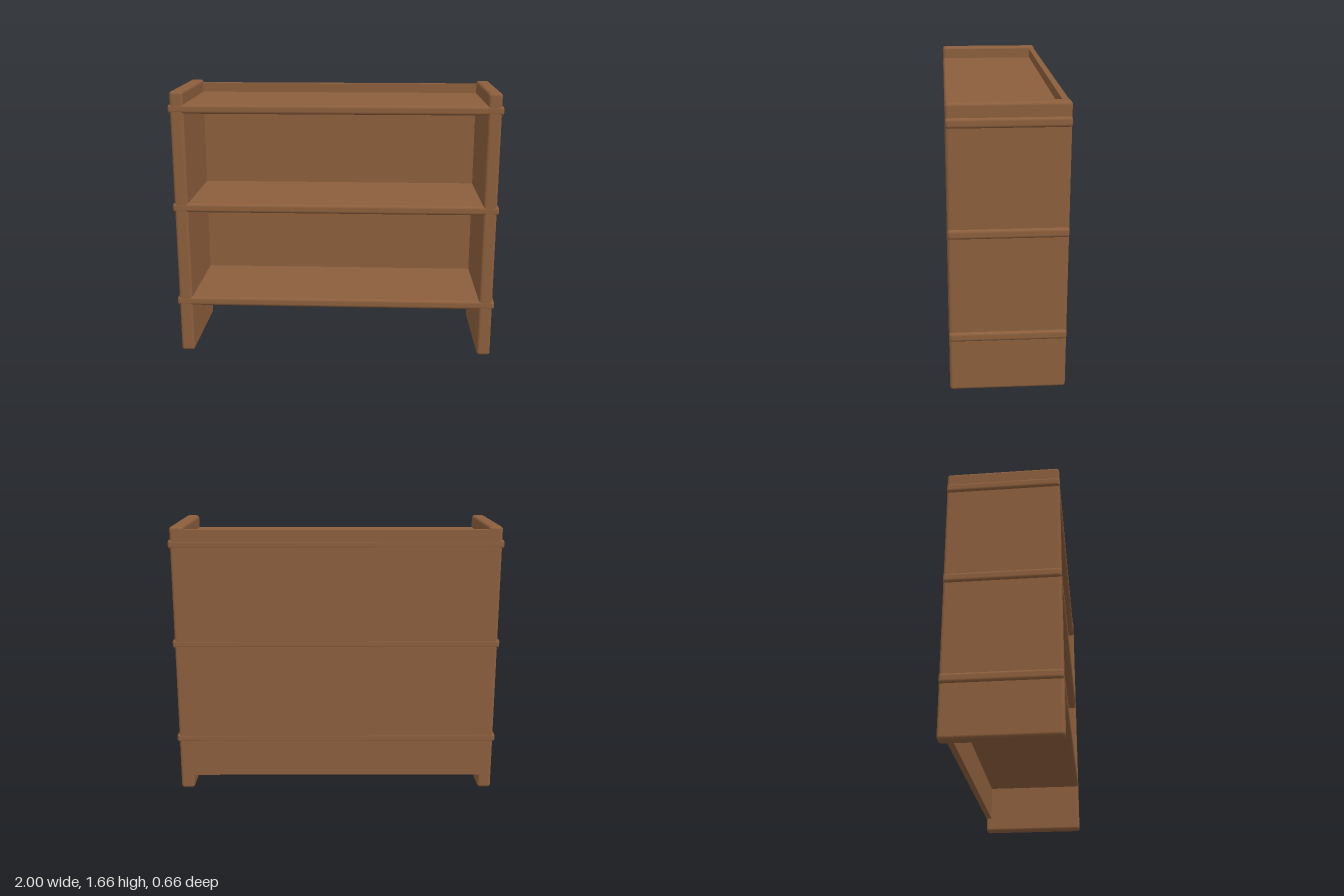
import * as THREE from 'three';
import { RoundedBoxGeometry } from 'three/addons/geometries/RoundedBoxGeometry.js';

export function createModel() {
  const group = new THREE.Group();
  group.name = 'bookcase';
  const wood = new THREE.MeshStandardMaterial({ color: 0x8b5e3c });

  function add(name, geometry, x, y, z) {
    const mesh = new THREE.Mesh(geometry, wood);
    mesh.name = name;
    mesh.position.set(x, y, z);
    group.add(mesh);
  }

  // upright side panels with softened edges
  const sideGeometry = new RoundedBoxGeometry(0.083, 1.664, 0.66, 3, 0.018);
  add('leftSide', sideGeometry, 0.945, 0.832, 0);
  add('rightSide', sideGeometry, -0.945, 0.832, 0);

  // shelves run through the sides and stick out slightly at both ends
  const shelfGeometry = new RoundedBoxGeometry(2, 0.056, 0.662, 3, 0.018);
  const shelves = { lowerShelf: 0.337, middleShelf: 0.948, topShelf: 1.558 };
  for (const [name, y] of Object.entries(shelves)) add(name, shelfGeometry, 0, y, 0);

  // thin back panel, raised clear of the ground
  add('backPanel', new THREE.BoxGeometry(1.84, 1.555, 0.036), 0, 0.8675, -0.312);

  return group;
}
